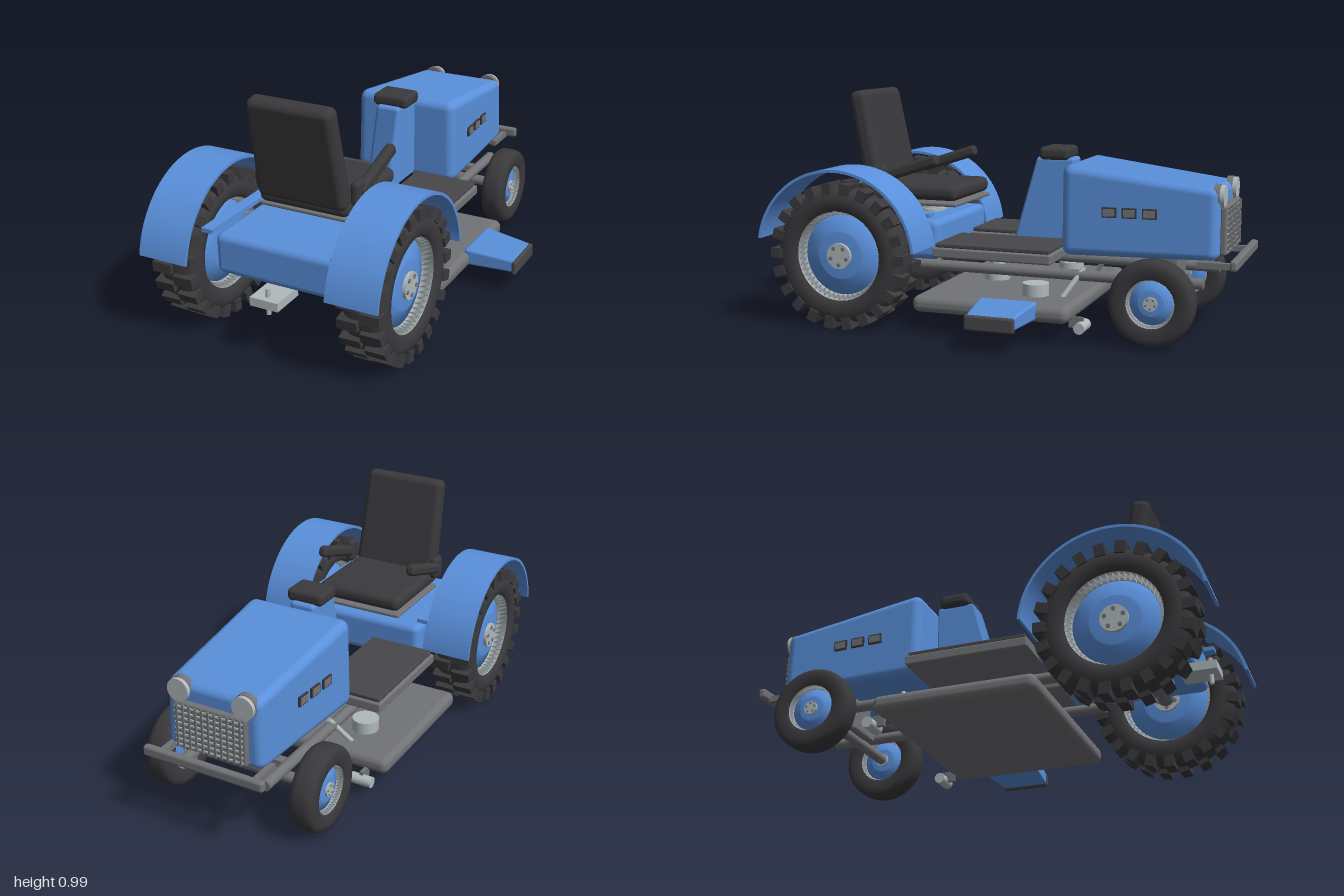
import * as THREE from 'three';
import { RoundedBoxGeometry } from 'three/addons/geometries/RoundedBoxGeometry.js';

const mat = (name, color, side = THREE.FrontSide) => {
  const m = new THREE.MeshStandardMaterial({ color, side });
  m.name = name;
  return m;
};

export function createModel() {
  const blue = mat('blue paint', 0x5a90dc);
  const black = mat('black rubber', 0x3a393c);
  const dark = mat('dark pad', 0x48474b);
  const grey = mat('grey steel', 0x727376);
  const light = mat('light metal', 0xb0b9bc, THREE.DoubleSide);

  const model = new THREE.Group();
  model.name = 'gardenTractor';
  const body = new THREE.Group();
  body.name = 'tractor';
  body.position.x = -0.07; // the chute sticks out on one side only
  model.add(body);

  const add = (name, geo, m, x = 0, y = 0, z = 0, parent = body) => {
    const mesh = new THREE.Mesh(geo, m);
    mesh.name = name;
    mesh.position.set(x, y, z);
    parent.add(mesh);
    return mesh;
  };
  const rbox = (w, h, d, r) => new RoundedBoxGeometry(w, h, d, 3, r);
  const block = (name, m, w, h, d, x, y, z, r = 0) =>
    add(name, r ? rbox(w, h, d, r) : new THREE.BoxGeometry(w, h, d), m, x, y, z);
  const drum = (name, m, r, h, x, y, z, parent = body) =>
    add(name, new THREE.CylinderGeometry(r, r, h, 28), m, x, y, z, parent);
  const rod = (name, m, a, b, r) => {
    const p = new THREE.Vector3(...a), q = new THREE.Vector3(...b);
    const mesh = drum(name, m, r, p.distanceTo(q), 0, 0, 0);
    mesh.position.copy(p).lerp(q, 0.5);
    mesh.quaternion.setFromUnitVectors(new THREE.Vector3(0, 1, 0), q.sub(p).normalize());
    return mesh;
  };
  const warp = (geo, rule) => {
    const p = geo.attributes.position, v = new THREE.Vector3();
    for (let i = 0; i < p.count; i++) {
      rule(v.fromBufferAttribute(p, i));
      p.setXYZ(i, v.x, v.y, v.z);
    }
    geo.computeBoundingSphere();
    return geo;
  };
  const lathe = (pts) => new THREE.LatheGeometry(pts.map((p) => new THREE.Vector2(...p)), 48);

  // Wheel with its axle along local y; outer face is +y
  const wheel = (name, side, x, y, z, R, w, rim) => {
    const g = new THREE.Group();
    g.name = name;
    g.position.set(side * x, y, z);
    g.rotation.z = -side * Math.PI / 2;
    body.add(g);
    const h = w / 2;
    const half = [[rim, 0.78 * h], [rim + 0.05 * R, 0.95 * h], [R * 0.82, h], [R * 0.93, 0.88 * h], [R * 0.985, 0.62 * h], [R, 0.3 * h]];
    add('tyre', lathe([...half.map(([r, t]) => [r, -t]), ...half.slice().reverse()]), black, 0, 0, 0, g);
    add('rim', lathe([[rim * 0.9, -0.3 * h], [rim, -0.8 * h], [rim, 0.8 * h], [rim * 0.9, 0.3 * h]]), light, 0, 0, 0, g);
    add('wheelDisc', lathe([[0, -0.6 * h], [rim * 0.52, -0.6 * h], [rim * 0.55, -0.5 * h], [rim * 0.92, -0.3 * h],
      [rim * 0.92, 0.3 * h], [rim * 0.55, 0.5 * h], [rim * 0.52, 0.6 * h], [0, 0.6 * h]]), blue, 0, 0, 0, g);
    drum('hub', light, rim * 0.29, w * 0.76, 0, 0, 0, g);
    for (let i = 0; i < 5; i++) {
      const a = i * Math.PI * 0.4;
      drum('wheelBolt', grey, rim * 0.045, w * 0.8, Math.cos(a) * rim * 0.2, 0, Math.sin(a) * rim * 0.2, g);
    }
    return g;
  };

  for (const s of [-1, 1]) {
    // Rear wheels with two staggered rows of lugs
    const rear = wheel('rearWheel', s, 0.41, 0.315, 0.64, 0.292, 0.176, 0.19);
    const lugs = 22;
    for (let i = 0; i < lugs * 2; i++) {
      const a = (i / lugs) * Math.PI;
      const row = i % 2 ? 1 : -1;
      const lug = add('tyreLug', new THREE.BoxGeometry(0.05, 0.085, 0.042), black,
        Math.cos(a) * 0.286, row * 0.047, Math.sin(a) * 0.286, rear);
      lug.rotation.y = -a;
    }
    wheel('frontWheel', s, 0.33, 0.19, -0.675, 0.175, 0.106, 0.098);

    // Fender arc and its bracket
    const arc = new THREE.Shape();
    arc.absarc(0, 0, 0.367, 0.1, Math.PI - 0.17, false);
    arc.absarc(0, 0, 0.355, Math.PI - 0.17, 0.1, true);
    const fender = add('fender', new THREE.ExtrudeGeometry(arc, { depth: 0.216, bevelEnabled: false, curveSegments: 32 }),
      blue, s * 0.41 - 0.108, 0.318, 0.64);
    fender.rotation.y = Math.PI / 2;
    block('fenderBracket', blue, 0.05, 0.018, 0.58, s * 0.285, 0.48, 0.585);

    // Frame tubes, foot plates, deck hangers and rollers
    rod('frameTube', grey, [s * 0.185, 0.247, 0.42], [s * 0.185, 0.247, -0.85], 0.023);
    block('footPlate', grey, 0.3, 0.042, 0.52, s * 0.215, 0.336, 0, 0.008);
    block('footPad', dark, 0.285, 0.018, 0.5, s * 0.212, 0.366, 0, 0.005);
    rod('deckHanger', light, [s * 0.245, 0.16, -0.275], [s * 0.18, 0.28, -0.35], 0.011);
    rod('deckRoller', light, [s * 0.31, 0.075, -0.395], [s * 0.405, 0.075, -0.395], 0.023);
    block('rollerArm', grey, 0.015, 0.045, 0.06, s * 0.357, 0.09, -0.37);
    drum('bladeSpindle', light, 0.056, 0.055, s * 0.25, 0.188, -0.16);

    // Seat armrest
    const arm = block('armrest', black, 0.045, 0.05, 0.3, s * 0.218, 0.665, 0.435, 0.018);
    arm.rotation.x = 0.31;
    block('armrestMount', black, 0.04, 0.1, 0.07, s * 0.215, 0.625, 0.575, 0.018);

    // Headlight and bumper bracket
    rod('headlight', light, [s * 0.143, 0.6, -0.885], [s * 0.143, 0.6, -0.922], 0.047);
    rod('headlightRim', grey, [s * 0.143, 0.6, -0.88], [s * 0.143, 0.6, -0.905], 0.05);
    block('bumperBracket', grey, 0.025, 0.025, 0.15, s * 0.208, 0.33, -0.9);

    // Hood side vents
    for (let i = 0; i < 3; i++) {
      const z = -0.467 - i * 0.083;
      const x = 0.245 - 0.03 * (-0.26 - z) / 0.645;
      const frame = block('ventFrame', black, 0.008, 0.042, 0.06, s * x, 0.525, z);
      const vent = block('vent', grey, 0.009, 0.03, 0.048, s * (x + 0.002), 0.525, z);
      frame.rotation.y = vent.rotation.y = s * 0.046;
    }
  }

  // Hood: narrower and lower toward the nose
  add('hood', warp(rbox(0.49, 0.38, 0.645, 0.04), (v) => {
    const t = 0.5 - v.z / 0.645, up = (v.y + 0.19) / 0.38;
    v.x *= (1 - 0.12 * t) * (1 - 0.05 * up);
    v.y -= up * 0.085 * t - 0.01 * t * (1 - up);
  }), blue, 0, 0.525, -0.585);

  // Grille with bars
  block('grille', grey, 0.32, 0.2, 0.03, 0, 0.462, -0.918, 0.01);
  for (let i = 0; i < 8; i++) block('grilleBar', light, 0.3, 0.007, 0.008, 0, 0.38 + i * 0.0235, -0.934);
  for (let i = 0; i < 11; i++) block('grilleSlat', grey, 0.008, 0.185, 0.01, -0.14 + i * 0.028, 0.462, -0.935);
  block('bumper', grey, 0.535, 0.045, 0.032, 0, 0.342, -0.98, 0.012);
  block('bumperCrossbar', grey, 0.44, 0.025, 0.025, 0, 0.33, -0.85);

  // Front axle and its mount
  rod('frontAxle', grey, [-0.33, 0.19, -0.675], [0.33, 0.19, -0.675], 0.023);
  block('axleMount', grey, 0.15, 0.15, 0.1, 0, 0.275, -0.675, 0.015);
  block('frameCrossbar', grey, 0.37, 0.03, 0.04, 0, 0.247, -0.675);

  // Steering column, sloping on the driver's side
  add('steeringColumn', warp(rbox(0.11, 0.36, 0.27, 0.015), (v) => {
    const up = (v.y + 0.18) / 0.36;
    v.z -= up * 0.105 * (v.z + 0.135) / 0.27;
  }), blue, 0, 0.54, -0.125);
  block('columnCap', black, 0.165, 0.055, 0.13, 0, 0.738, -0.177, 0.02);

  // Rear body, transmission and axle
  block('rearBody', blue, 0.555, 0.172, 0.57, 0, 0.37, 0.555, 0.03);
  block('transmission', grey, 0.27, 0.1, 0.34, 0, 0.283, 0.56, 0.025);
  rod('rearAxle', grey, [-0.4, 0.315, 0.64], [0.4, 0.315, 0.64], 0.035);

  // Tow hitch
  block('hitchPlate', light, 0.124, 0.036, 0.15, 0, 0.26, 0.86);
  drum('hitchPin', light, 0.01, 0.11, 0, 0.258, 0.9);

  // Seat
  drum('seatPost', light, 0.055, 0.09, 0, 0.475, 0.42);
  for (const y of [0.468, 0.482, 0.496]) drum('seatSpring', light, 0.07, 0.009, 0, y, 0.42);
  block('seatPan', grey, 0.405, 0.016, 0.4, 0, 0.513, 0.42, 0.006);
  block('seatCushion', black, 0.4, 0.068, 0.42, 0, 0.561, 0.43, 0.03);
  const back = add('seatBack', warp(rbox(0.395, 0.44, 0.08, 0.03), (v) => {
    v.x *= 1 - 0.07 * (v.y + 0.22) / 0.44;
  }), black, 0, 0.777, 0.655);
  back.rotation.x = 0.2;

  // Mower deck, centre spindle and discharge chute
  block('mowerDeck', grey, 0.9, 0.07, 0.68, 0, 0.13, -0.02, 0.03);
  drum('centreSpindle', light, 0.056, 0.045, 0, 0.188, 0.105);
  drum('spindleShaft', light, 0.035, 0.05, 0, 0.23, 0.105);
  add('dischargeChute', warp(rbox(0.22, 0.075, 0.25, 0.012), (v) => {
    const t = (v.x + 0.11) / 0.22;
    v.z *= 1 - 0.2 * t;
    v.y = v.y * (1 - 0.3 * t) - 0.012 * t;
  }), blue, 0.535, 0.143, -0.105);
  block('chuteFlap', dark, 0.022, 0.062, 0.21, 0.645, 0.126, -0.105, 0.01);

  return model;
}
